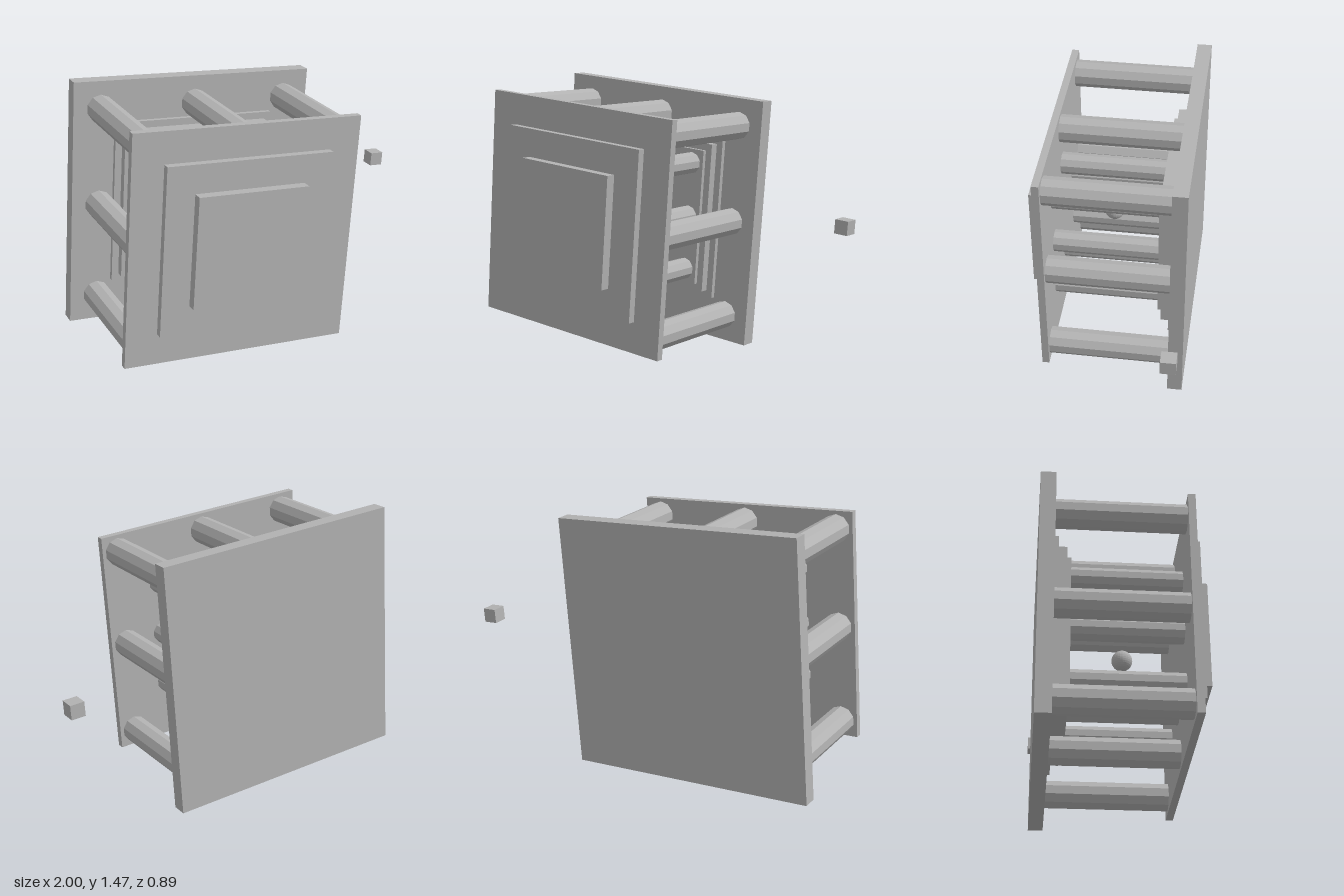
import * as THREE from 'three';

export function createModel() {
  const model = new THREE.Group();
  const grey = new THREE.MeshStandardMaterial({ color: 0xb2b2b2, flatShading: true });
  grey.name = 'plain grey';

  const TILT = -0.077;
  const add = (parent, name, geometry, x, y, z) => {
    const mesh = new THREE.Mesh(geometry, grey);
    mesh.name = name;
    mesh.position.set(x, y, z);
    parent.add(mesh);
    return mesh;
  };

  // Main body, slightly tilted about its own centre
  const body = new THREE.Group();
  body.name = 'body';
  body.position.set(-0.267, 0.74, 0);
  body.rotation.set(0, -0.006, TILT);
  model.add(body);

  // Square plates: name, side, back z, front z
  const plates = [
    ['backPlate', 1.367, -0.44, -0.36],
    ['backStepLarge', 0.912, -0.36, -0.335],
    ['backStepMiddle', 0.836, -0.335, -0.29],
    ['backStepSmall', 0.76, -0.29, -0.268],
    ['frontPlate', 1.255, 0.308, 0.347],
    ['frontStepLarge', 0.915, 0.347, 0.387],
    ['frontStepSmall', 0.607, 0.387, 0.44],
  ];
  for (const [name, side, z0, z1] of plates) {
    add(body, name, new THREE.BoxGeometry(side, side, z1 - z0), 0, 0, (z0 + z1) / 2);
  }

  // Ring of eight ten-sided pillars joining front and back
  const pillarRing = (name, spacing, radius, z0, z1) => {
    const geometry = new THREE.CylinderGeometry(radius, radius, z1 - z0, 10);
    geometry.rotateX(Math.PI / 2);
    for (let i = -1; i <= 1; i++) {
      for (let j = -1; j <= 1; j++) {
        if (i === 0 && j === 0) continue;
        add(body, name, geometry, i * spacing, j * spacing, (z0 + z1) / 2);
      }
    }
  };
  pillarRing('outerPillar', 0.535, 0.075, -0.362, 0.31);
  pillarRing('innerPillar', 0.302, 0.06, -0.27, 0.31);

  // Small ball at the core
  add(body, 'coreBall', new THREE.SphereGeometry(0.055, 24, 16), 0, 0, 0.02);

  // Separate little cube beside the body
  const cube = add(model, 'sideCube', new THREE.BoxGeometry(0.076, 0.076, 0.078), 0.957, 0.74, -0.404);
  cube.rotation.z = TILT;

  return model;
}
